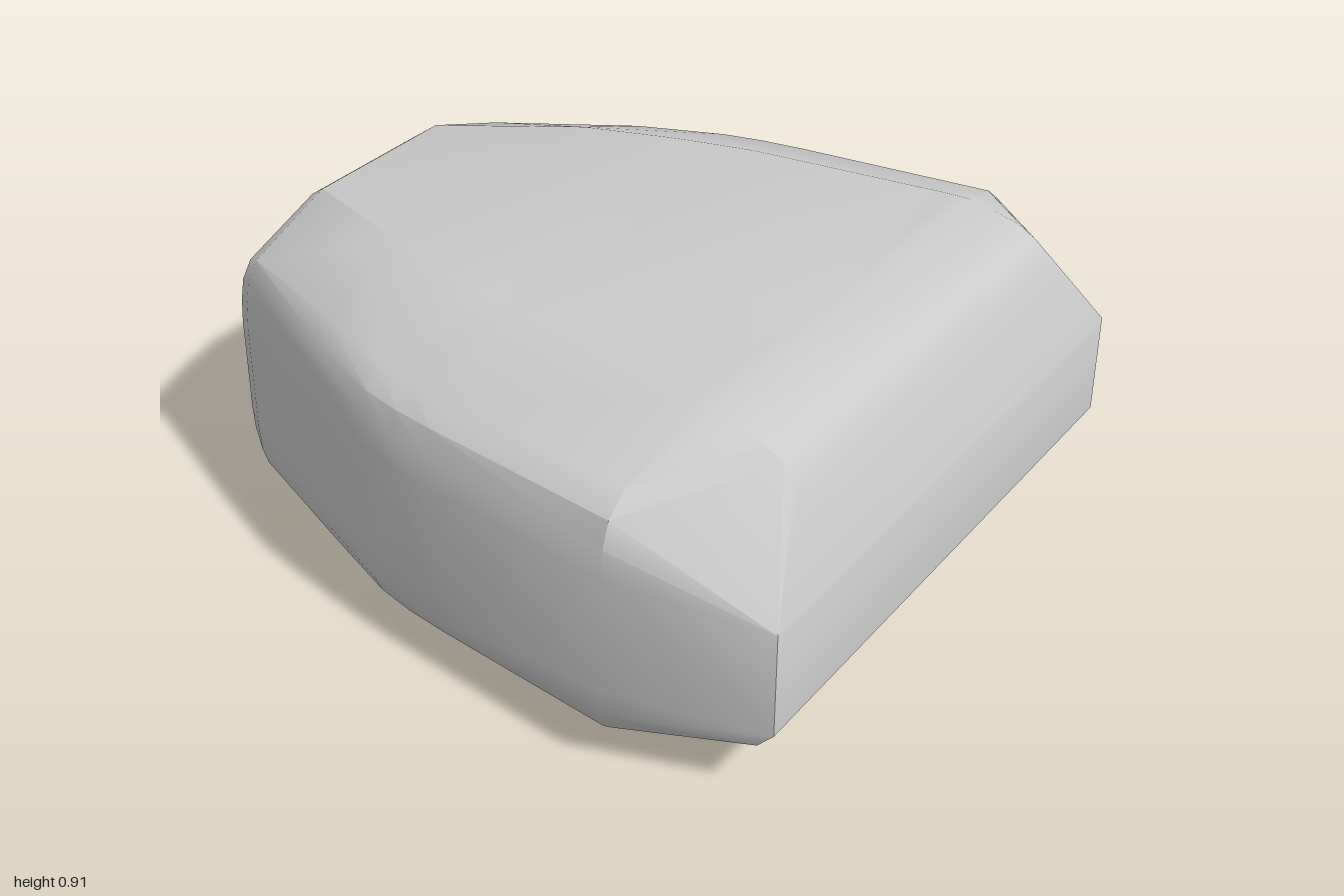
import * as THREE from 'three';
import { ConvexGeometry } from 'three/addons/geometries/ConvexGeometry.js';
import { toCreasedNormals } from 'three/addons/utils/BufferGeometryUtils.js';

// Rounded half profile: [z as a share of half width, height as a share of full height]
const SIDE = [
  [0.9, 0.88], [0.965, 0.82], [0.99, 0.74], [1, 0.65],
  [1, 0.27], [0.99, 0.175], [0.96, 0.11], [0.9, 0.055],
];

// Cross-sections along x: [x, half width, bottom, top, flat top half, flat bottom half]
const SECTIONS = [
  [-0.99, 0.54, 0.04, 0.8, 0.22, 0.4],
  [-0.92, 0.59, 0.005, 0.85, 0.25, 0.45],
  [-0.5, 0.775, 0.008, 0.893, 0.42, 0.62],
  [-0.25, 0.88, 0.01, 0.897, 0.5, 0.7],
  [-0.13, 0.91, 0.011, 0.899, 0.53, 0.73],
  [0, 0.93, 0.012, 0.901, 0.56, 0.75],
  [0.55, 0.994, 0.015, 0.905, 0.63, 0.8],
  [0.58, 1, 0.03, 0.905, 0.635, 0.8],
];

// Wedge-shaped front end: [x, y, half width]
const NOSE = [
  [0.65, 0.905, 0.64], [0.72, 0.888, 0.645], [0.8, 0.865, 0.65],
  [0.85, 0.835, 0.65], [0.88, 0.795, 0.65], [0.9, 0.75, 0.66],
  [0.98, 0.53, 0.865], [0.98, 0.23, 0.865], [0.935, 0.18, 0.865],
];

export function createModel() {
  const points = [];
  const addPair = (x, y, z) => points.push(new THREE.Vector3(x, y, z), new THREE.Vector3(x, y, -z));

  for (const [x, width, bottom, top, topHalf, bottomHalf] of SECTIONS) {
    addPair(x, top, topHalf);
    for (const [w, h] of SIDE) addPair(x, bottom + (top - bottom) * h, width * w);
    addPair(x, bottom, bottomHalf);
  }
  for (const [x, y, z] of NOSE) addPair(x, y, z);
  // Slight crown along the centre line of the top
  addPair(0.62, 0.91, 0.001);

  const geometry = toCreasedNormals(new ConvexGeometry(points), 0.5);
  const body = new THREE.Mesh(geometry, new THREE.MeshStandardMaterial({ color: 0xcccccc }));
  body.name = 'body';

  const group = new THREE.Group();
  group.name = 'taperedBlock';
  group.add(body);
  return group;
}
